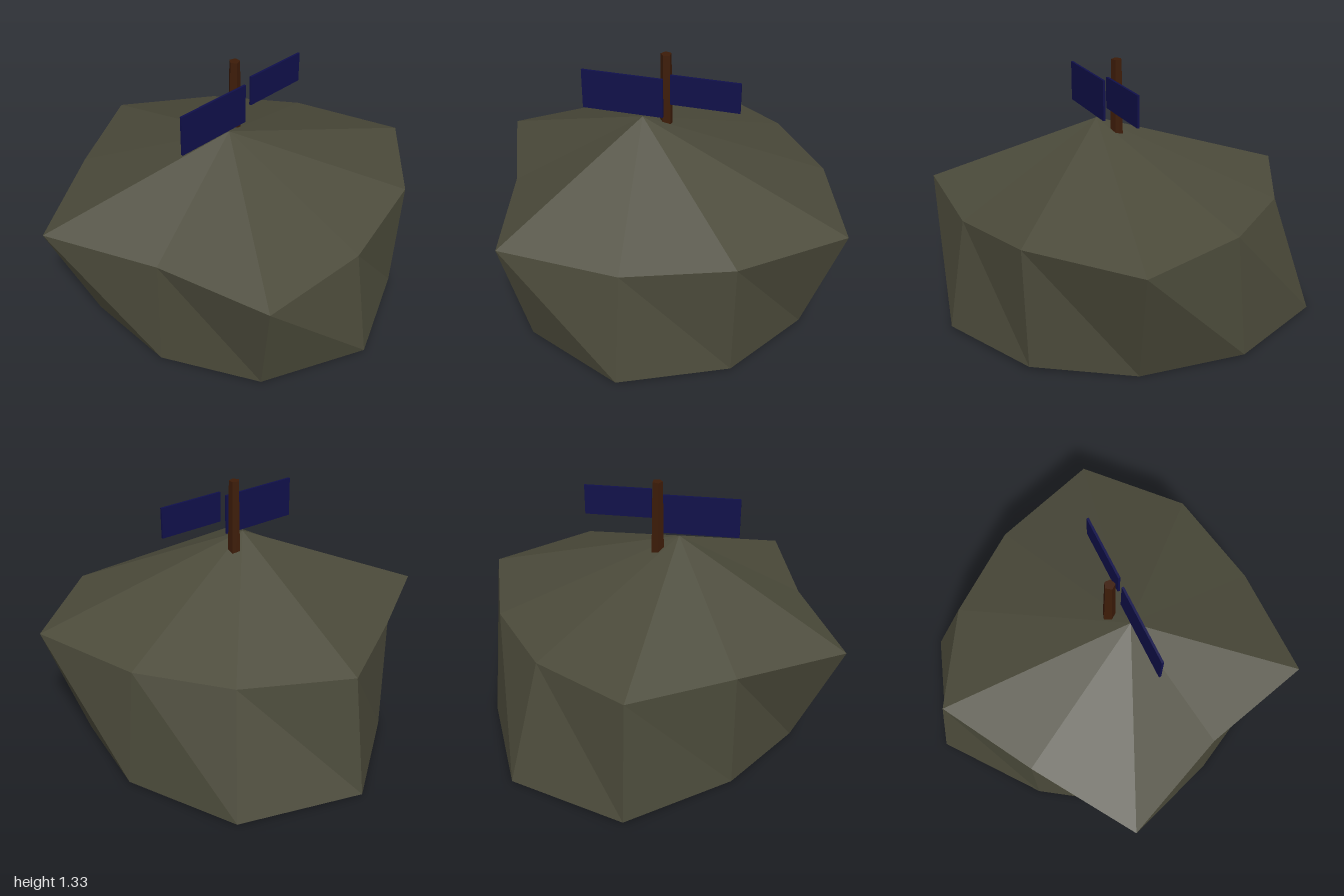
import * as THREE from 'three';

const SIDES = 10;
const CENTRE = { x: 0.05, z: -0.01 };

// Irregular ring of points around the pole, from radii and heights
function ring(radii, heights) {
  return radii.map((r, i) => {
    const a = (i / SIDES) * Math.PI * 2;
    return new THREE.Vector3(CENTRE.x + r * Math.cos(a), heights[i], CENTRE.z + r * Math.sin(a));
  });
}

// Flat-faced surface from triangles of points
function facets(points) {
  const geometry = new THREE.BufferGeometry().setFromPoints(points);
  geometry.computeVertexNormals();
  return geometry;
}

export function createModel() {
  const canvas = new THREE.MeshStandardMaterial({ color: 0x4b4a3a });
  const wood = new THREE.MeshStandardMaterial({ color: 0x3d1c08 });
  const navy = new THREE.MeshStandardMaterial({ color: 0x10104a });
  canvas.flatShading = wood.flatShading = true;

  const model = new THREE.Group();
  model.name = 'tent';
  const add = (name, geometry, material, x = 0, y = 0, z = 0) => {
    const mesh = new THREE.Mesh(geometry, material);
    mesh.name = name;
    mesh.position.set(x, y, z);
    model.add(mesh);
  };

  // Eaves and hem of the tent
  const eaves = ring(
    [0.85, 1.04, 0.80, 1.06, 0.83, 0.96, 0.83, 0.84, 1.04, 0.90],
    [0.60, 0.62, 0.615, 0.61, 0.64, 0.65, 0.63, 0.63, 0.635, 0.655]);
  const hem = ring(
    [0.95, 0.89, 0.81, 0.81, 0.83, 1.05, 1.04, 0.91, 0.83, 0.88],
    [0.02, 0.01, 0.005, 0.01, 0.005, 0.015, 0.005, 0.015, 0, 0.02]);
  const apex = new THREE.Vector3(0.12, 1.0, 0.1);
  const floorCentre = new THREE.Vector3(CENTRE.x, 0.01, CENTRE.z);

  const roof = [], walls = [], floor = [];
  for (let i = 0; i < SIDES; i++) {
    const j = (i + 1) % SIDES;
    roof.push(apex, eaves[j], eaves[i]);
    walls.push(eaves[j], hem[i], eaves[i], eaves[j], hem[j], hem[i]);
    floor.push(floorCentre, hem[i], hem[j]);
  }
  add('roof', facets(roof), canvas);
  add('walls', facets(walls), canvas);
  add('floor', facets(floor), canvas);

  // Five-sided pole through the roof
  add('pole', new THREE.CylinderGeometry(0.028, 0.042, 0.83, 5), wood, 0.05, 0.915, -0.005);

  // Two flags beside the pole
  add('frontFlag', new THREE.BoxGeometry(0.012, 0.215, 0.425), navy, 0.122, 1.118, 0.205);
  add('backFlag', new THREE.BoxGeometry(0.012, 0.162, 0.355), navy, 0.122, 1.174, -0.223);

  return model;
}
